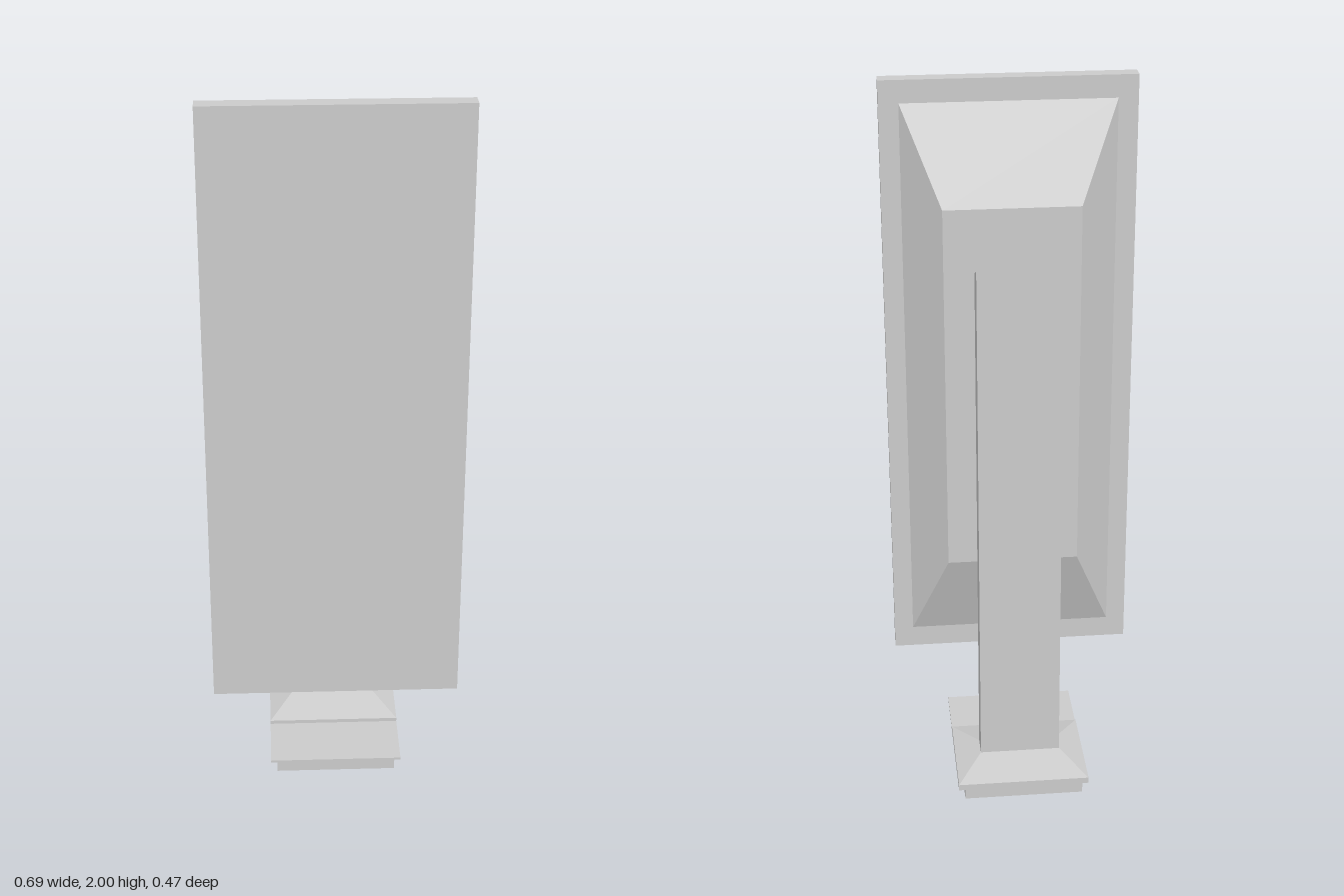
import * as THREE from 'three';

const material = new THREE.MeshStandardMaterial({ color: 0xcccccc, flatShading: true });

function part(name, geometry) {
  const mesh = new THREE.Mesh(geometry, material);
  mesh.name = name;
  return mesh;
}

// Box given by its limits; an optional rule moves each corner
function block(name, [x0, x1], [y0, y1], [z0, z1], rule) {
  const g = new THREE.BoxGeometry(x1 - x0, y1 - y0, z1 - z0);
  g.translate((x0 + x1) / 2, (y0 + y1) / 2, (z0 + z1) / 2);
  if (rule) {
    const p = g.attributes.position;
    const v = new THREE.Vector3();
    for (let i = 0; i < p.count; i++) {
      rule(v.fromBufferAttribute(p, i));
      p.setXYZ(i, v.x, v.y, v.z);
    }
    g.computeVertexNormals();
  }
  return part(name, g);
}

export function createModel() {
  const model = new THREE.Group();
  model.name = 'uprightMonitor';

  // Screen panel with a tapered rear housing
  model.add(block('screenPanel', [-0.347, 0.347], [0.27, 2], [0.18, 0.226]));
  model.add(block('rearHousing', [-0.294, 0.294], [0.33, 1.94], [0.087, 0.181], (v) => {
    if (v.z < 0.13) {
      v.x = Math.sign(v.x) * 0.188;
      v.y = v.y > 1 ? 1.67 : 0.6;
    }
  }));

  // Mounting arm, waisted in the middle
  const profile = [[-0.06, 0.037], [-0.01, 0.024], [0.045, 0.024], [0.088, 0.037]];
  const outline = [
    ...profile.map(([z, h]) => new THREE.Vector2(-z, 1.283 + h)),
    ...profile.slice().reverse().map(([z, h]) => new THREE.Vector2(-z, 1.283 - h)),
  ];
  const arm = new THREE.ExtrudeGeometry(new THREE.Shape(outline), { depth: 0.206, bevelEnabled: false });
  arm.translate(0, 0, -0.103).rotateY(Math.PI / 2);
  model.add(part('mountingArm', arm));

  // Column with a top that slopes down towards the screen
  model.add(block('column', [-0.115, 0.115], [0.07, 1.572], [-0.121, -0.059], (v) => {
    if (v.y > 1 && v.z > -0.09) v.y = 1.545;
  }));

  // Stand: recessed foot, wider plate, and a step sloping up to the column
  model.add(block('foot', [-0.17, 0.17], [0, 0.03], [-0.237, 0.237]));
  model.add(block('basePlate', [-0.188, 0.188], [0.03, 0.037], [-0.237, 0.237]));
  model.add(block('baseStep', [-0.188, 0.188], [0.037, 0.048], [-0.237, 0.06]));
  model.add(block('baseSlope', [-0.188, 0.188], [0.048, 0.076], [-0.237, 0.06], (v) => {
    if (v.y > 0.06) {
      v.x = Math.sign(v.x) * 0.115;
      v.z = v.z > 0 ? -0.059 : -0.121;
    }
  }));

  return model;
}
